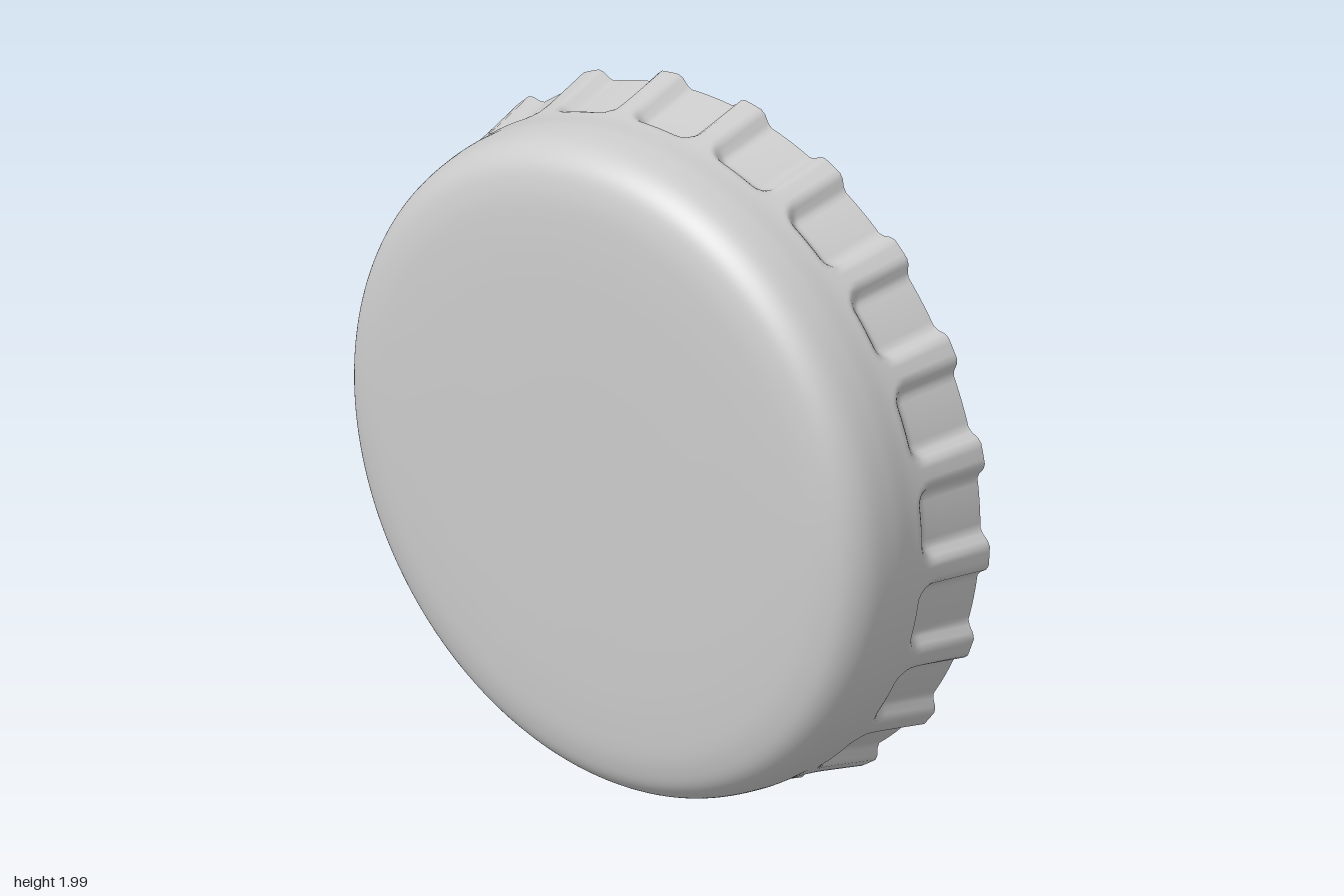
import * as THREE from 'three';
import { mergeVertices } from 'three/addons/utils/BufferGeometryUtils.js';

const FLUTES = 21;      // ridges around the skirt, one pointing straight down
const DENT_DEPTH = 0.035;
const PITCH = (Math.PI * 2) / FLUTES;

// Strength (0..1) of the rounded dent between two ridges;
// u = arc distance from the dent's centre, z = depth position
function dent(u, z) {
  const corner = 0.06, half = 0.118, start = -0.02;
  const dx = Math.abs(u) - half + corner;
  const dz = z - start + corner;
  const outside = Math.hypot(Math.max(dx, 0), Math.max(dz, 0));
  const distance = outside + Math.min(Math.max(dx, dz), 0) - corner;
  return THREE.MathUtils.smoothstep(-distance, 0, 0.042);
}

export function createModel() {
  const group = new THREE.Group();
  group.name = 'bottleCap';

  // Profile from the flared rim to the middle of the face: radius, z
  const profile = new THREE.CatmullRomCurve3([
    [1, -0.243], [0.98, -0.16], [0.962, -0.08], [0.95, -0.01], [0.945, 0.07],
    [0.925, 0.15], [0.885, 0.197], [0.82, 0.222], [0.7, 0.235], [0.4, 0.242], [0, 0.243],
  ].map(([r, z]) => new THREE.Vector3(r, z, 0)));
  const points = profile.getPoints(80).map((p) => new THREE.Vector2(Math.max(p.x, 0), p.y));

  let shell = new THREE.LatheGeometry(points, FLUTES * 20);

  // Press the dents into the skirt
  const pos = shell.attributes.position;
  for (let i = 0; i < pos.count; i++) {
    const x = pos.getX(i), y = pos.getY(i), z = pos.getZ(i);
    if (y > 0) continue;
    const turn = (Math.atan2(x, z) + Math.PI * 2) / PITCH;
    const u = (turn - Math.floor(turn) - 0.5) * PITCH;
    const r = Math.hypot(x, z);
    const s = (r - DENT_DEPTH * dent(u * r, y)) / r;
    pos.setXYZ(i, x * s, y, z * s);
  }

  // Weld the seam so the shading is smooth all round
  shell.deleteAttribute('uv');
  shell.deleteAttribute('normal');
  shell = mergeVertices(shell, 1e-5);
  shell.computeVertexNormals();
  shell.rotateX(Math.PI / 2);

  const cap = new THREE.Mesh(shell, new THREE.MeshStandardMaterial({
    color: 0xcccccc, side: THREE.DoubleSide,
  }));
  cap.name = 'crimpedShell';
  cap.position.y = 1;
  group.add(cap);
  return group;
}
